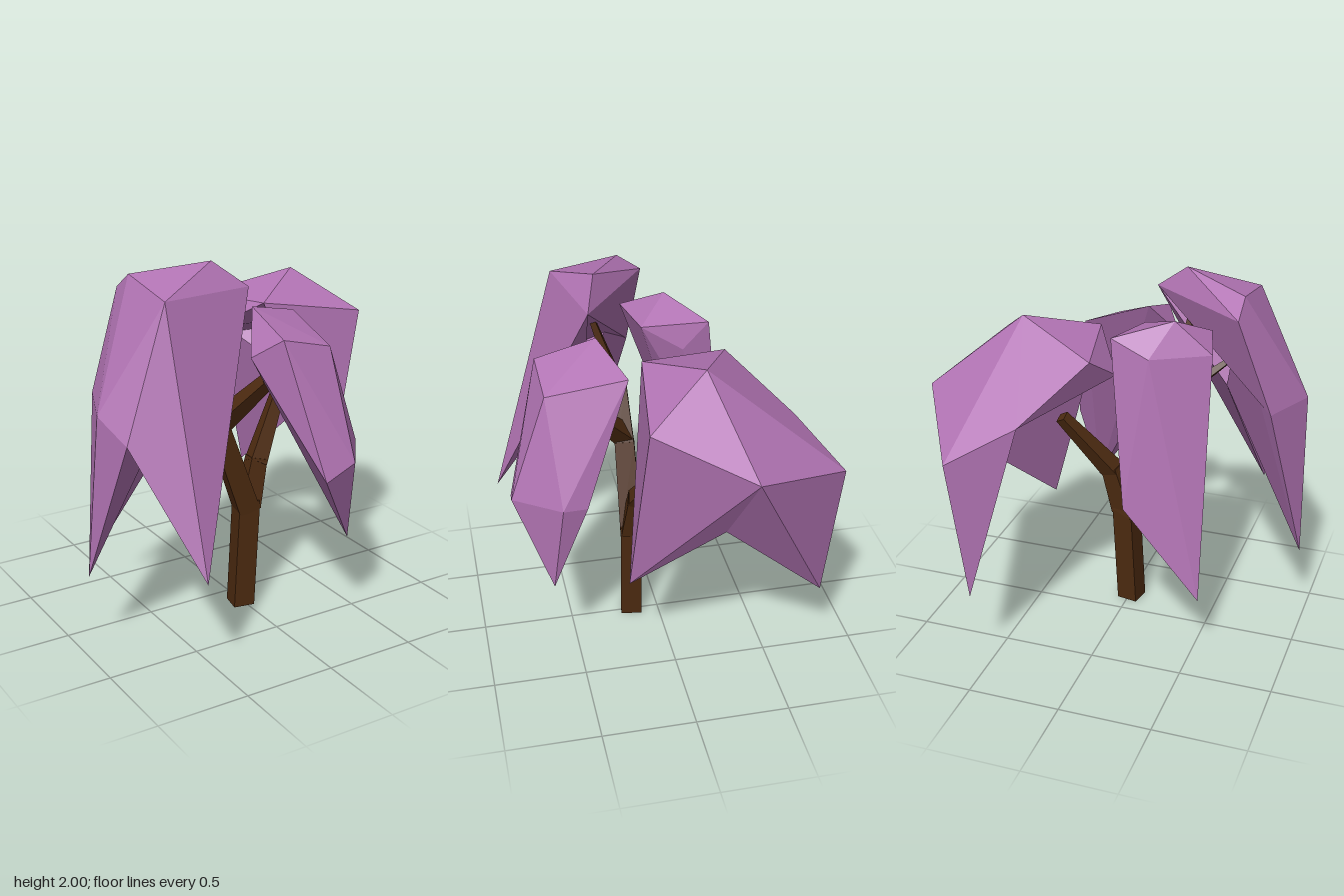
import * as THREE from 'three';
import { ConvexGeometry } from 'three/addons/geometries/ConvexGeometry.js';

const leafMat = new THREE.MeshStandardMaterial({ color: 0xb274b4, flatShading: true });
const barkMat = new THREE.MeshStandardMaterial({ color: 0x4c2a10, flatShading: true });
const V = (p) => new THREE.Vector3(...p);
const TWIST = Math.PI / 4 - 0.18;

// Faceted leaf mass: a crown hull plus drooping lobes.
// Each lobe joins chosen crown points (by index) to its own tip points.
function foliage(name, crown, lobes = []) {
  const group = new THREE.Group();
  group.name = name;
  const hulls = [crown, ...lobes.map(({ join, tip }) => [...join.map((i) => crown[i]), ...tip])];
  hulls.forEach((pts, i) => {
    const mesh = new THREE.Mesh(new ConvexGeometry(pts.map(V)), leafMat);
    mesh.name = i ? 'droopingLobe' : 'crown';
    group.add(mesh);
  });
  return group;
}

// Four-sided tapered limb from a to b
function limb(name, a, b, r0, r1) {
  const from = V(a), to = V(b), dir = to.clone().sub(from);
  const geo = new THREE.CylinderGeometry(r1, r0, dir.length(), 4);
  geo.rotateY(TWIST);
  const mesh = new THREE.Mesh(geo, barkMat);
  mesh.name = name;
  mesh.quaternion.setFromUnitVectors(new THREE.Vector3(0, 1, 0), dir.normalize());
  mesh.position.copy(from.add(to).multiplyScalar(0.5));
  return mesh;
}

export function createModel() {
  const tree = new THREE.Group();
  tree.name = 'weepingTree';

  // Trunk: a leaning post, its sides sheared so the base stays flat
  const trunkGeo = new THREE.CylinderGeometry(0.083, 0.083, 0.62, 4);
  trunkGeo.rotateY(TWIST).translate(0, 0.31, 0);
  const pos = trunkGeo.attributes.position;
  for (let i = 0; i < pos.count; i++) {
    pos.setX(i, pos.getX(i) - 0.012 + pos.getY(i) * 0.055);
    pos.setZ(i, pos.getZ(i) + 0.15);
  }
  trunkGeo.computeVertexNormals();
  const trunk = new THREE.Mesh(trunkGeo, barkMat);
  trunk.name = 'trunk';
  tree.add(trunk);

  // Fork and branches
  const limbs = [
    ['rightFork', [0.025, 0.56, 0.15], [-0.15, 1.05, 0.15], 0.085, 0.075],
    ['leftFork', [0.03, 0.58, 0.15], [0.1, 0.84, 0.13], 0.08, 0.065],
    ['leftBranch', [0.09, 0.81, 0.135], [0.34, 1.17, -0.01], 0.068, 0.04],
    ['rightBranch', [-0.14, 1.02, 0.15], [-0.26, 1.34, 0.15], 0.075, 0.05],
    ['frontBranch', [-0.16, 1.08, 0.15], [0.0, 1.36, 0.38], 0.07, 0.045],
    ['upperTwig', [-0.25, 1.3, 0.15], [-0.3, 1.77, 0.3], 0.05, 0.018],
    ['outerTwig', [-0.25, 1.3, 0.15], [-0.5, 1.5, 0.25], 0.045, 0.02],
  ];
  limbs.forEach((l) => tree.add(limb(...l)));

  // Tall clump at the model's right; its two lobes meet under the crown
  const hollow = [-0.5, 1.35, 0.3];
  tree.add(foliage('rightFoliage', [
    [-0.27, 2.0, 0.28], [-0.09, 1.86, 0.34], [-0.63, 1.88, 0.46], [-0.63, 1.94, 0.09],
    [-0.63, 1.85, -0.04], [-0.81, 1.34, 0.01], [-0.94, 1.33, 0.33], [-0.88, 1.22, 0.52],
  ], [
    { join: [4, 5, 6, 7], tip: [[-0.97, 0.44, 0.23], hollow] },
    { join: [1, 2, 7], tip: [[-0.62, 0.56, 0.83], hollow] },
  ]));

  // Broad clump at the model's left, reaching to the back
  const notch = [0.74, 1.0, -0.2];
  tree.add(foliage('leftFoliage', [
    [0.49, 1.79, -0.145], [0.15, 1.69, 0.11], [0.05, 1.66, -0.35], [0.325, 1.39, -0.66],
    [0.65, 1.22, -0.84], [0.965, 1.4, -0.3], [0.72, 1.59, 0.185], [-0.02, 1.52, -0.14],
  ], [
    { join: [3, 4, 5], tip: [[0.575, 0.43, -0.78], notch] },
    { join: [1, 5, 6], tip: [[0.49, 0.56, 0.25], notch] },
  ]));

  // Back clump
  tree.add(foliage('backFoliage', [
    [-0.32, 1.84, -0.105], [-0.04, 1.78, -0.285], [-0.05, 1.63, -0.15], [-0.11, 1.75, 0.06],
    [-0.46, 1.73, 0.11], [-0.515, 1.67, -0.08], [-0.24, 1.69, -0.29],
    [-0.14, 0.88, -0.39], [-0.55, 0.38, -0.36],
  ]));

  // Front clump
  tree.add(foliage('frontFoliage', [
    [-0.05, 1.745, 0.31], [0.275, 1.66, 0.2], [-0.17, 1.54, 0.49], [-0.07, 1.65, 0.63],
    [0.215, 1.575, 0.62], [0.08, 0.93, 0.81], [0.245, 1.01, 0.82], [0.43, 1.02, 0.575],
    [0.41, 1.01, 0.445], [0.355, 0.5, 0.63],
  ]));

  return tree;
}
